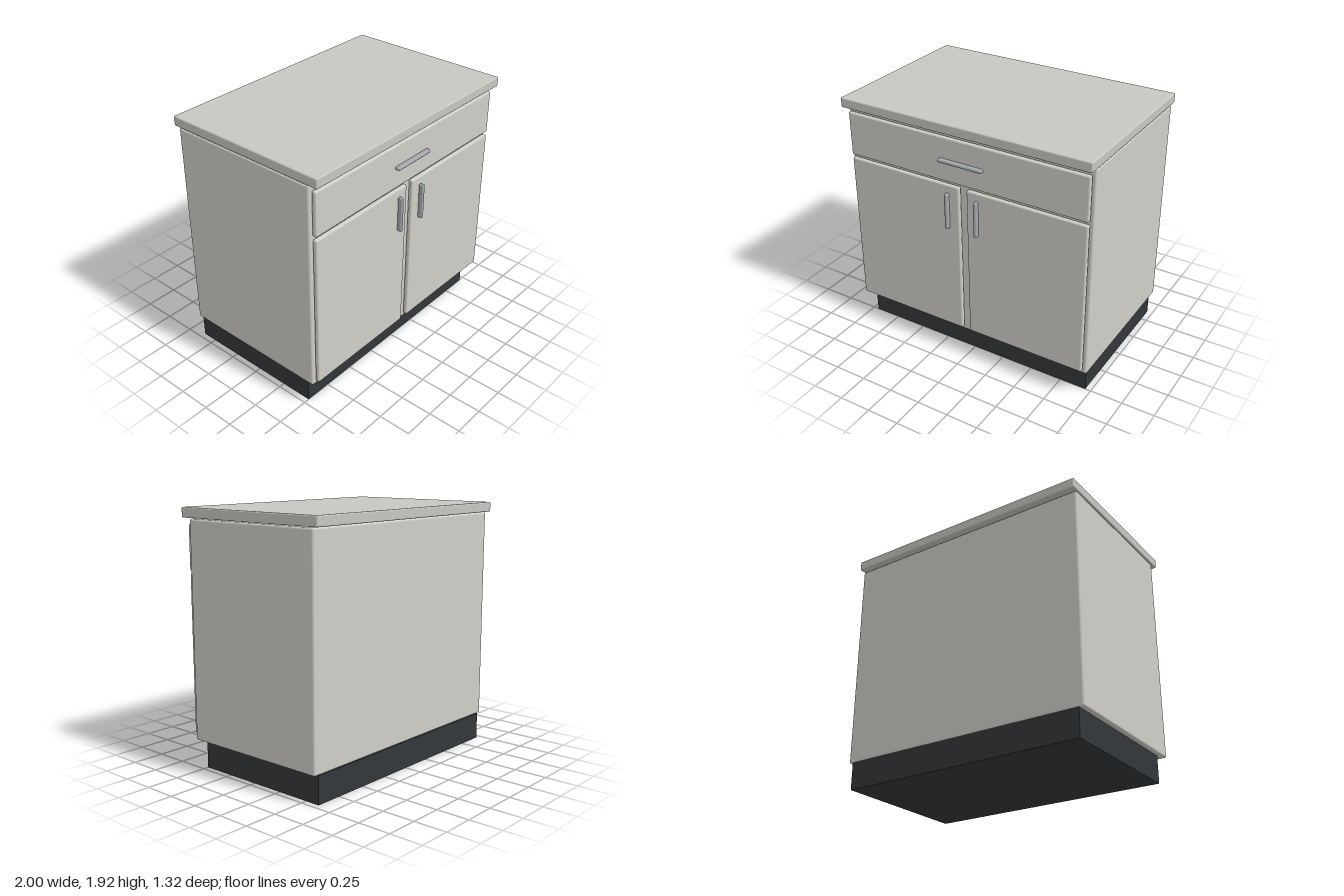
import * as THREE from 'three';
import { RoundedBoxGeometry } from 'three/addons/geometries/RoundedBoxGeometry.js';

export function createModel() {
  const cabinet = new THREE.Group();
  cabinet.name = 'cabinet';

  const paint = new THREE.MeshStandardMaterial({ color: 0xd0cec8 });
  const worktopPaint = new THREE.MeshStandardMaterial({ color: 0xc8c6c1 });
  const plinthPaint = new THREE.MeshStandardMaterial({ color: 0x33373a });
  const metal = new THREE.MeshStandardMaterial({ color: 0xa4a8ac });

  // Box between two corners; radius 0 gives sharp edges
  const box = (name, material, [x0, y0, z0], [x1, y1, z1], radius = 0) => {
    const size = [x1 - x0, y1 - y0, z1 - z0];
    const geometry = radius
      ? new RoundedBoxGeometry(...size, 3, radius)
      : new THREE.BoxGeometry(...size);
    const mesh = new THREE.Mesh(geometry, material);
    mesh.name = name;
    mesh.position.set((x0 + x1) / 2, (y0 + y1) / 2, (z0 + z1) / 2);
    cabinet.add(mesh);
  };

  // Recessed base, carcass and overhanging worktop
  box('plinth', plinthPaint, [-0.957, 0, -0.617], [0.957, 0.207, 0.5]);
  box('carcass', paint, [-0.995, 0.207, -0.617], [0.995, 1.84, 0.58], 0.015);
  box('worktop', worktopPaint, [-1, 1.845, -0.658], [1, 1.92, 0.658], 0.01);

  // Full-width drawer
  box('drawerFront', paint, [-0.972, 1.465, 0.583], [0.972, 1.8, 0.62], 0.012);
  box('drawerHandle', metal, [-0.18, 1.618, 0.618], [0.18, 1.645, 0.658], 0.012);

  // Pair of doors with upright handles near the middle
  for (const [side, s] of [['left', 1], ['right', -1]]) {
    const span = (a, b) => (s > 0 ? [a, b] : [-b, -a]);
    const [d0, d1] = span(0.032, 0.97);
    const [h0, h1] = span(0.108, 0.134);
    box(side + 'Door', paint, [d0, 0.245, 0.583], [d1, 1.44, 0.62], 0.012);
    box(side + 'DoorHandle', metal, [h0, 1.103, 0.618], [h1, 1.383, 0.658], 0.011);
  }

  return cabinet;
}
